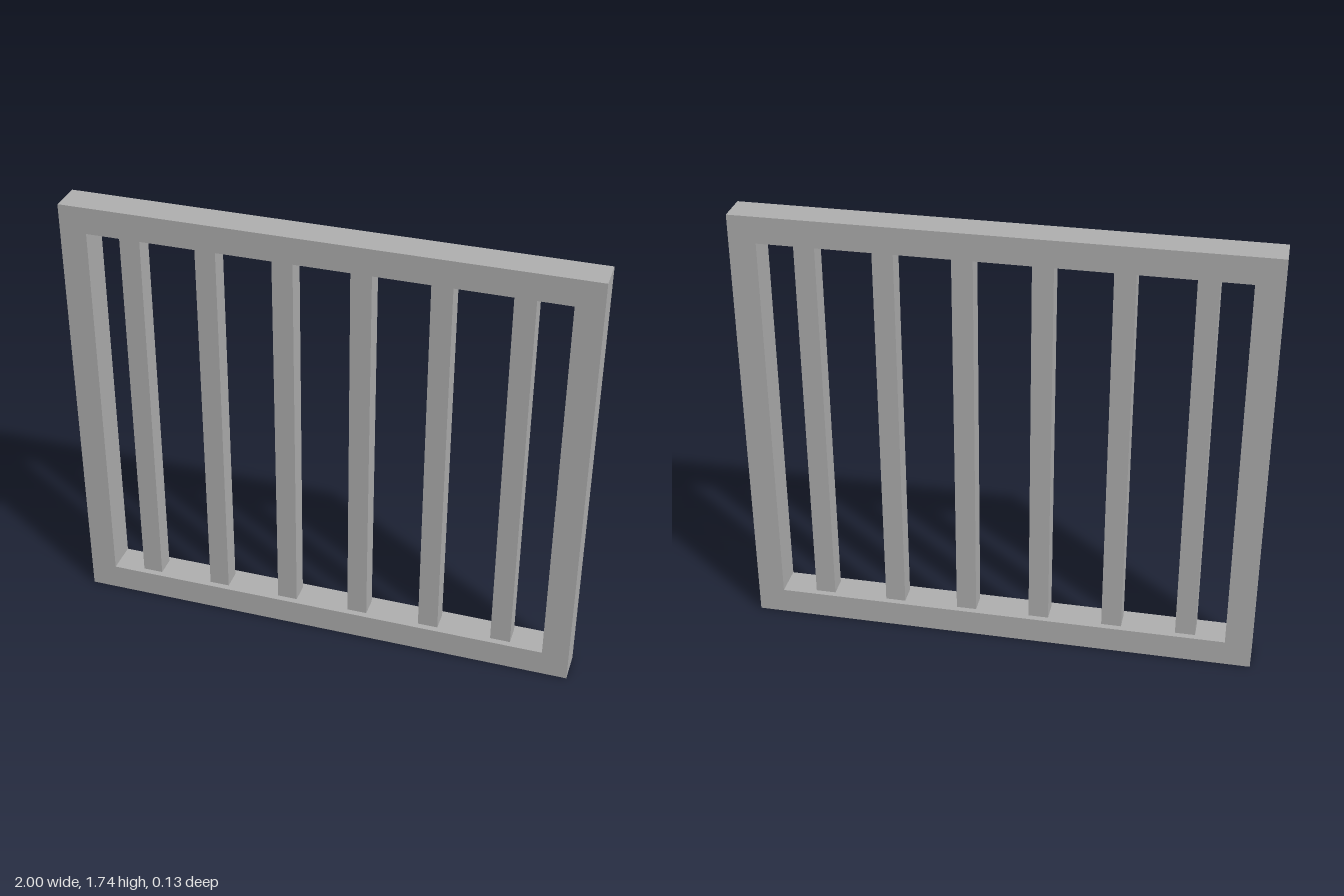
import * as THREE from 'three';

const W = 2, H = 1.74, DEPTH = 0.128, RAIL = 0.104;
const BARS = 6, BAR = 0.079, FIRST = -0.738, STEP = 0.2925;

export function createModel() {
  const group = new THREE.Group();
  group.name = 'barredWindow';
  const metal = new THREE.MeshStandardMaterial({ color: 0xb0b0b0 });
  metal.name = 'grey metal';

  // Outer frame: one rectangle with a rectangular opening
  const outline = new THREE.Shape([
    new THREE.Vector2(-W / 2, 0), new THREE.Vector2(W / 2, 0),
    new THREE.Vector2(W / 2, H), new THREE.Vector2(-W / 2, H),
  ]);
  const x = W / 2 - RAIL;
  outline.holes.push(new THREE.Path([
    new THREE.Vector2(-x, RAIL), new THREE.Vector2(-x, H - RAIL),
    new THREE.Vector2(x, H - RAIL), new THREE.Vector2(x, RAIL),
  ]));
  const frameGeometry = new THREE.ExtrudeGeometry(outline, { depth: DEPTH, bevelEnabled: false });
  frameGeometry.translate(0, 0, -DEPTH / 2);
  const frame = new THREE.Mesh(frameGeometry, metal);
  frame.name = 'frame';
  group.add(frame);

  // Evenly spaced square bars between the rails
  const barGeometry = new THREE.BoxGeometry(BAR, H - 2 * RAIL, BAR);
  for (let i = 0; i < BARS; i++) {
    const bar = new THREE.Mesh(barGeometry, metal);
    bar.name = `bar${i + 1}`;
    bar.position.set(FIRST + i * STEP, H / 2, 0);
    group.add(bar);
  }
  return group;
}
